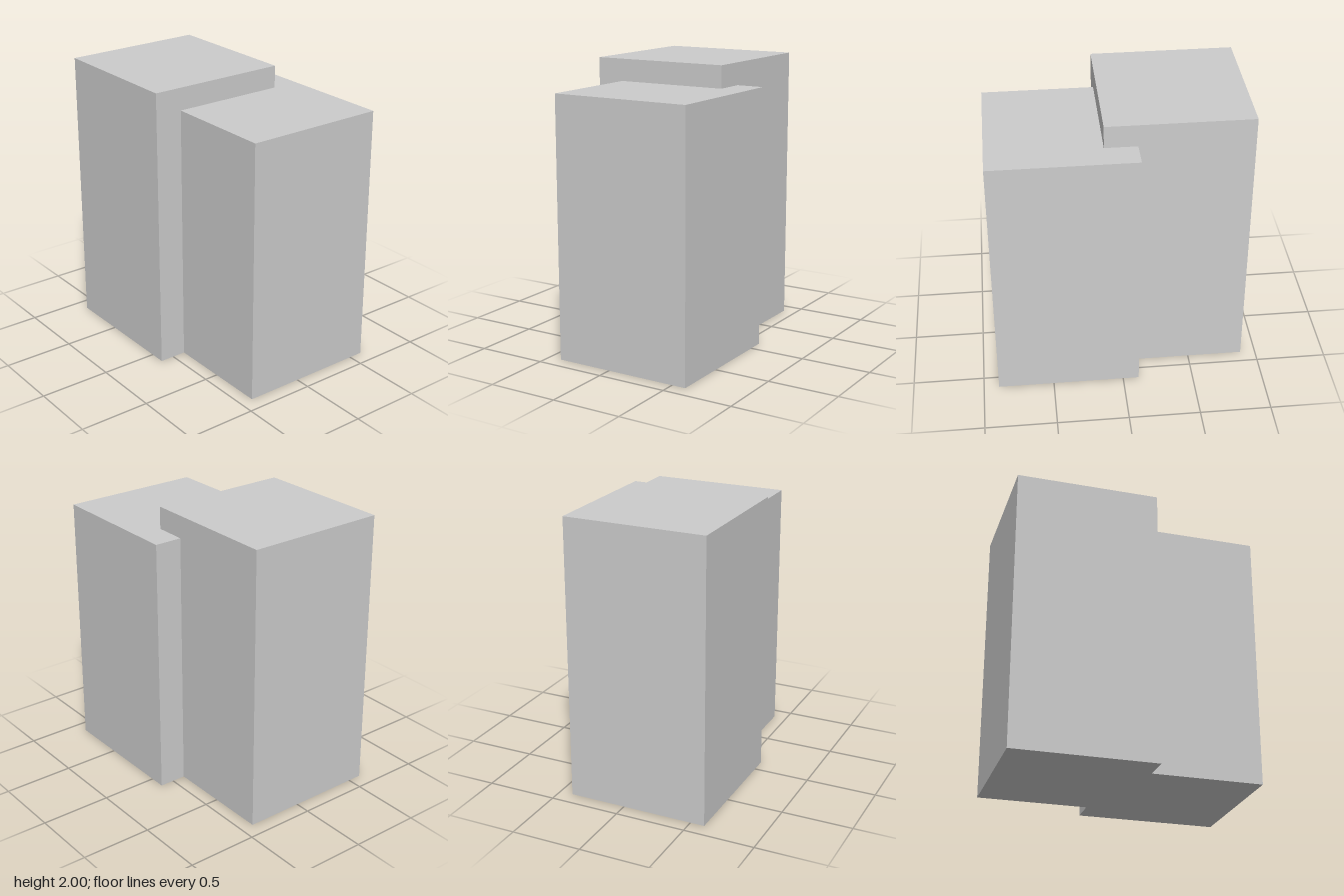
import * as THREE from 'three';

export function createModel() {
  const group = new THREE.Group();
  const material = new THREE.MeshStandardMaterial({ color: 0xcccccc, flatShading: true });
  const side = 1.005; // both blocks share one square footprint

  function addBlock(name, height, x, z) {
    const mesh = new THREE.Mesh(new THREE.BoxGeometry(side, height, side), material);
    mesh.name = name;
    mesh.position.set(x, height / 2, z);
    group.add(mesh);
  }

  // Two overlapping upright blocks, offset diagonally
  addBlock('tallBackBlock', 2, -0.098, -0.39);
  addBlock('shortFrontBlock', 1.842, 0.098, 0.39);

  return group;
}
